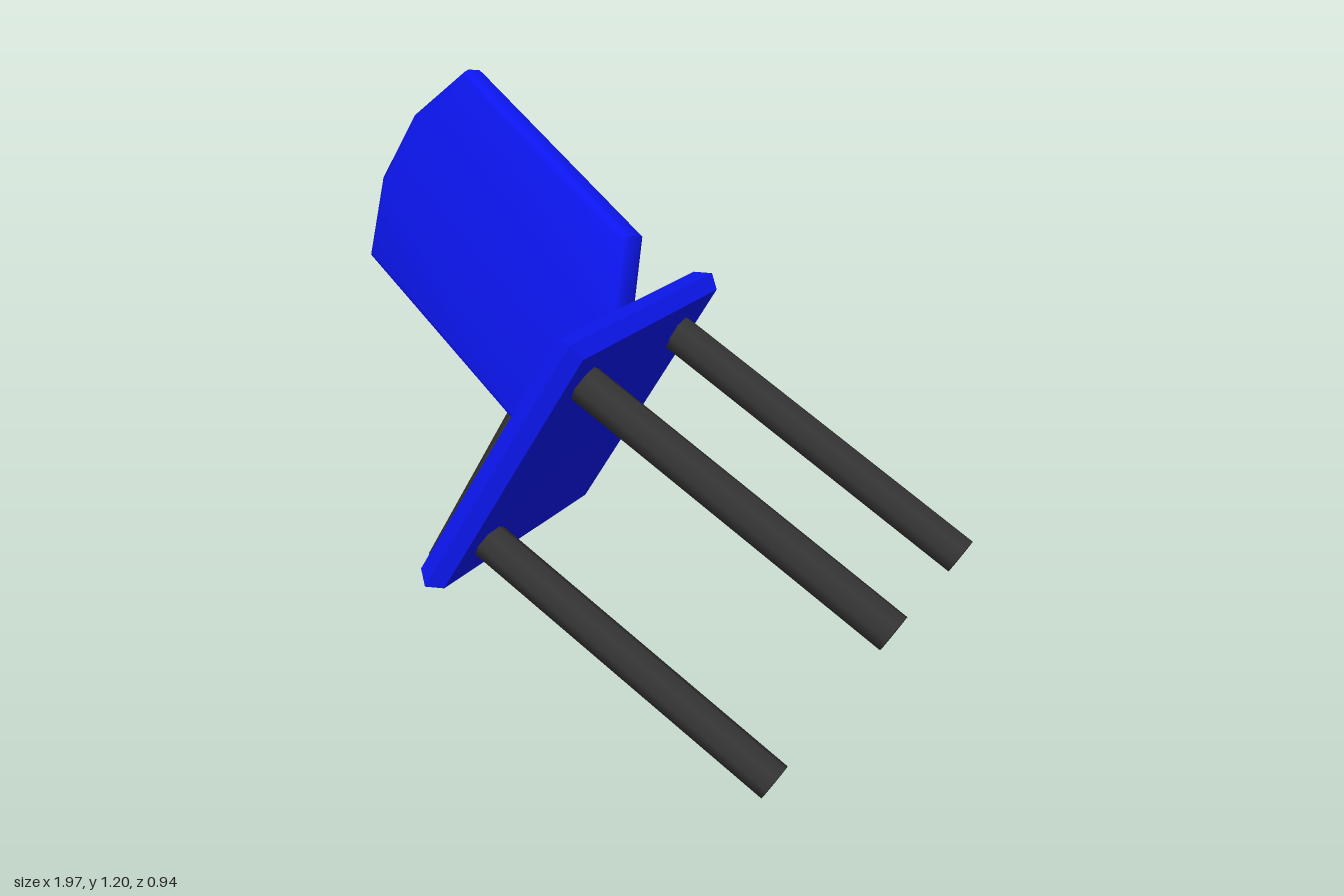
import * as THREE from 'three';
import { toCreasedNormals } from 'three/addons/utils/BufferGeometryUtils.js';

const blue = new THREE.MeshStandardMaterial({ color: 0x0c16f0 });
const dark = new THREE.MeshStandardMaterial({ color: 0x333333 });
const LEG_LENGTH = 0.84, LEG_RADIUS = 0.045;

function addMesh(parent, name, geometry, material, x = 0, y = 0, z = 0) {
  const mesh = new THREE.Mesh(geometry, material);
  mesh.name = name;
  mesh.position.set(x, y, z);
  parent.add(mesh);
  return mesh;
}

// Square seat with bevelled rim and a shallow dish
function seatGeometry() {
  const size = 0.71, t = 0.07;
  const g = new THREE.BoxGeometry(size, t, size, 12, 2, 12);
  const p = g.attributes.position;
  for (let i = 0; i < p.count; i++) {
    let x = p.getX(i), y = p.getY(i), z = p.getZ(i);
    if (Math.abs(y) > 0.01) {
      const dx = Math.max(0, 1 - Math.abs(x) / 0.3), dz = Math.max(0, 1 - Math.abs(z) / 0.3);
      y -= Math.min(dx, dz) * (y > 0 ? 0.05 : 0.03);
      x *= 0.95;
      z *= 0.95;
    }
    p.setXYZ(i, x, y, z);
  }
  return toCreasedNormals(g, 0.9);
}

// Backrest panel with bowed top and bottom edges
function backGeometry() {
  const b = 0.018, w = 0.305 - b, h = 0.35 - b;
  const outline = [[-w, -h], [-0.1, -h - 0.105], [0.1, -h - 0.105], [w, -h],
    [w, h], [0.1, h + 0.08], [-0.1, h + 0.08], [-w, h]];
  const shape = new THREE.Shape(outline.map(([x, y]) => new THREE.Vector2(x, y)));
  const g = new THREE.ExtrudeGeometry(shape, {
    depth: 0.04, bevelEnabled: true, bevelSize: b, bevelThickness: b, bevelSegments: 2,
  });
  g.translate(0, 0, -0.02);
  return toCreasedNormals(g, 0.9);
}

export function createModel() {
  const model = new THREE.Group();
  model.name = 'brokenChair';
  const legGeometry = new THREE.CylinderGeometry(LEG_RADIUS, LEG_RADIUS, LEG_LENGTH, 8);

  // Toppled chair: local y is the seat's up, local z its front
  const chair = new THREE.Group();
  chair.name = 'toppledChair';
  const up = new THREE.Vector3(-0.87, 0.45, 0.185).normalize();
  const side = new THREE.Vector3().crossVectors(up, new THREE.Vector3(0.27, 0.13, 0.955)).normalize();
  const front = new THREE.Vector3().crossVectors(side, up);
  chair.quaternion.setFromRotationMatrix(new THREE.Matrix4().makeBasis(side, up, front));
  chair.position.set(0.0575, 0.6, 0.04);
  model.add(chair);

  addMesh(chair, 'seat', seatGeometry(), blue);

  // Leaning backrest and the short neck that holds it
  const lean = -0.285;
  addMesh(chair, 'backrest', backGeometry(), blue, 0, 0.54, -0.46).rotation.x = lean;
  addMesh(chair, 'backrestNeck', new THREE.BoxGeometry(0.18, 0.2, 0.06), blue, 0, 0.08, -0.325).rotation.x = lean;

  // Three legs still attached
  for (const [name, x, z] of [
    ['frontLeftLeg', 0.24, 0.235], ['backLeftLeg', 0.24, -0.225], ['frontRightLeg', -0.23, 0.235],
  ]) {
    addMesh(chair, name, legGeometry, dark, x, -0.02 - LEG_LENGTH / 2, z);
  }

  // The fourth leg, broken off
  const a = new THREE.Vector3(-0.565, 0.298, -0.455), b = new THREE.Vector3(-0.145, 0.245, 0.265);
  const loose = addMesh(model, 'detachedLeg', legGeometry, dark);
  loose.position.addVectors(a, b).multiplyScalar(0.5);
  loose.quaternion.setFromUnitVectors(new THREE.Vector3(0, 1, 0), b.sub(a).normalize());

  return model;
}
